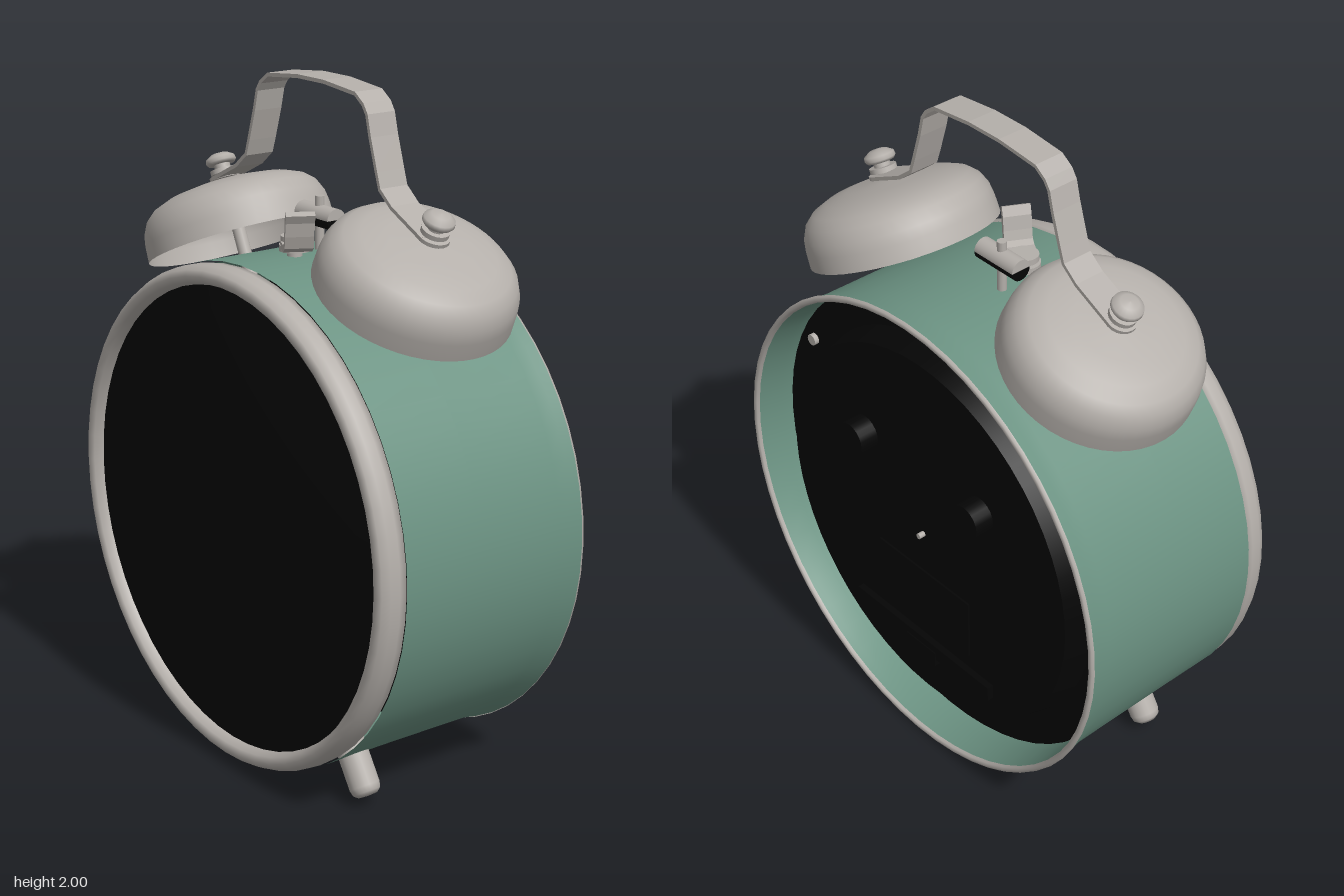
import * as THREE from 'three';

const green = new THREE.MeshStandardMaterial({ color: 0x6c9383 });
green.name = 'green enamel';
const silver = new THREE.MeshStandardMaterial({ color: 0xb4afaa, side: THREE.DoubleSide });
silver.name = 'brushed silver';
const black = new THREE.MeshStandardMaterial({ color: 0x050505 });
black.name = 'black';

const CY = 0.76; // height of the case axis
const TILT = 0.435; // lean of the bells

function add(parent, name, geometry, material, x = 0, y = 0, z = 0) {
  const mesh = new THREE.Mesh(geometry, material);
  mesh.name = name;
  mesh.position.set(x, y, z);
  parent.add(mesh);
  return mesh;
}

function lathe(points, segments = 48) {
  return new THREE.LatheGeometry(points.map(([r, h]) => new THREE.Vector2(r, h)), segments);
}

// Turned part around the case axis: profile is [radius, z]
function turned(parent, name, points, material) {
  return add(parent, name, lathe(points, 56).rotateX(Math.PI / 2), material, 0, CY, 0);
}

const rod = (r, h, n = 20) => new THREE.CylinderGeometry(r, r, h, n);
const zRod = (r, h, n = 20) => rod(r, h, n).rotateX(Math.PI / 2);

// Bent metal strip: follows a path in xy, with a width along z
function strip(path, thickness, width) {
  const pts = path.map(([x, y]) => new THREE.Vector2(x, y));
  const sides = [1, -1].map(s => pts.map((p, i) => {
    const a = pts[Math.max(i - 1, 0)], b = pts[Math.min(i + 1, pts.length - 1)];
    const d = b.clone().sub(a).normalize();
    return new THREE.Vector2(p.x - d.y * s * thickness / 2, p.y + d.x * s * thickness / 2);
  }));
  const shape = new THREE.Shape([...sides[0], ...sides[1].reverse()]);
  return new THREE.ExtrudeGeometry(shape, { depth: width, bevelEnabled: false }).translate(0, 0, -width / 2);
}

function buildCase(model) {
  const g = new THREE.Group();
  g.name = 'case';
  model.add(g);
  turned(g, 'caseOuter', [[0.755, -0.364], [0.75, -0.335], [0.743, -0.29], [0.741, 0], [0.741, 0.25]], green);
  turned(g, 'caseInner', [[0.73, 0.25], [0.73, -0.28], [0.737, -0.335], [0.743, -0.364]], green);
  turned(g, 'backRim', [[0.737, -0.36], [0.739, -0.369], [0.746, -0.373], [0.754, -0.37], [0.757, -0.362]], silver);
  turned(g, 'bezel', [[0.70, 0.245], [0.735, 0.247], [0.738, 0.27], [0.736, 0.3], [0.725, 0.322],
    [0.708, 0.331], [0.69, 0.322], [0.681, 0.3], [0.678, 0.27]], silver);
  // shallow domed front
  const dome = [];
  for (let i = 0; i <= 10; i++) {
    const r = 0.685 * (1 - i / 10);
    dome.push([r, 0.384 - r * r / 5.2]);
  }
  turned(g, 'frontDome', dome, black);
}

function buildBack(model) {
  const g = new THREE.Group();
  g.name = 'back';
  model.add(g);
  // sunken flange with a raised middle plate
  add(g, 'backFlange', zRod(0.735, 0.02, 56), black, 0, CY, -0.23);
  add(g, 'backPlate', new THREE.CylinderGeometry(0.62, 0.6, 0.08, 56).rotateX(Math.PI / 2).rotateY(Math.PI),
    black, 0, CY, -0.285).rotation.y = Math.PI;
  for (const s of [1, -1]) add(g, 'settingKnob', zRod(0.054, 0.065), black, s * 0.25, CY + 0.23, -0.3525);
  add(g, 'batteryDoor', new THREE.BoxGeometry(0.4, 0.2, 0.016), black, 0, CY - 0.24, -0.323);
  add(g, 'batteryLedge', new THREE.BoxGeometry(0.6, 0.05, 0.03), black, 0, CY - 0.415, -0.33);
  add(g, 'batteryCatch', new THREE.BoxGeometry(0.13, 0.05, 0.03), black, 0, CY - 0.44, -0.333);
  for (let i = 0; i < 3; i++) {
    const a = Math.PI / 6 + i * Math.PI * 2 / 3;
    add(g, 'flangeScrew', zRod(0.018, 0.02, 12), silver, 0.68 * Math.cos(a), CY + 0.68 * Math.sin(a), -0.245);
  }
  add(g, 'centrePin', zRod(0.009, 0.03, 10), silver, 0, CY, -0.33);
}

function buildBell(model, side) {
  const g = new THREE.Group();
  g.name = side > 0 ? 'leftBell' : 'rightBell';
  g.position.set(side * 0.4, 1.455, -0.037);
  g.rotation.z = -side * TILT;
  model.add(g);
  add(g, 'bellShell', lathe([[0.285, 0], [0.283, 0.05], [0.278, 0.083], [0.262, 0.118], [0.235, 0.143],
    [0.19, 0.162], [0.12, 0.176], [0, 0.184]]), silver);
  add(g, 'bellPost', rod(0.02, 0.32), silver, 0, 0.03, 0);
  add(g, 'handleEnd', rod(0.047, 0.011), silver, 0, 0.196, 0);
  add(g, 'washer', rod(0.04, 0.014), silver, 0, 0.214, 0);
  add(g, 'nutNeck', rod(0.024, 0.05), silver, 0, 0.228, 0);
  add(g, 'nut', lathe([[0, 0.236], [0.04, 0.236], [0.046, 0.244], [0.044, 0.256], [0.026, 0.268], [0, 0.272]], 20), silver);
}

function buildHandle(model) {
  const half = [[0.486, 1.632], [0.36, 1.694], [0.31, 1.735], [0.295, 1.78], [0.267, 1.87],
    [0.252, 1.93], [0.235, 1.955], [0.2, 1.98], [0.06, 1.994]];
  const path = [...half.map(([x, y]) => [-x, y]), ...half.slice().reverse()];
  add(model, 'handle', strip(path, 0.011, 0.094), silver, 0, 0, -0.037);
}

function buildHammer(model) {
  const g = new THREE.Group();
  g.name = 'hammer';
  g.position.set(-0.027, 0, -0.045);
  model.add(g);
  add(g, 'hammerRod', rod(0.014, 0.2, 12), silver, 0, 1.555, 0);
  // round bar, silver above and black below
  const halfBar = start => new THREE.CylinderGeometry(0.032, 0.032, 0.155, 14, 1, false, start, Math.PI)
    .rotateZ(Math.PI / 2);
  add(g, 'hammerTop', halfBar(0), silver, 0, 1.597, 0);
  add(g, 'hammerPad', halfBar(Math.PI), black, 0, 1.597, 0);
}

function buildLever(model) {
  const g = new THREE.Group();
  g.name = 'alarmLever';
  g.position.set(-0.005, 1.48, 0.06);
  g.rotation.y = -0.5;
  model.add(g);
  add(g, 'leverStem', rod(0.022, 0.08), silver, 0, 0.03, 0);
  add(g, 'leverDisc', rod(0.045, 0.018), silver, 0, 0.045, 0);
  add(g, 'leverCap', rod(0.04, 0.018), silver, 0, 0.07, 0);
  add(g, 'leverTab', strip([[0, 0.055], [0.06, 0.055], [0.085, 0.068], [0.095, 0.1], [0.103, 0.14], [0.116, 0.165]],
    0.02, 0.082), silver);
}

function buildFoot(model, side) {
  const foot = add(model, side > 0 ? 'leftFoot' : 'rightFoot',
    lathe([[0, -0.863], [0.028, -0.861], [0.041, -0.85], [0.045, -0.833], [0.045, -0.7]], 24),
    silver, 0, CY, 0.158);
  foot.rotation.z = side * 0.575;
}

export function createModel() {
  const model = new THREE.Group();
  model.name = 'alarmClock';
  buildCase(model);
  buildBack(model);
  buildHandle(model);
  buildHammer(model);
  buildLever(model);
  for (const side of [1, -1]) {
    buildBell(model, side);
    buildFoot(model, side);
  }
  return model;
}
